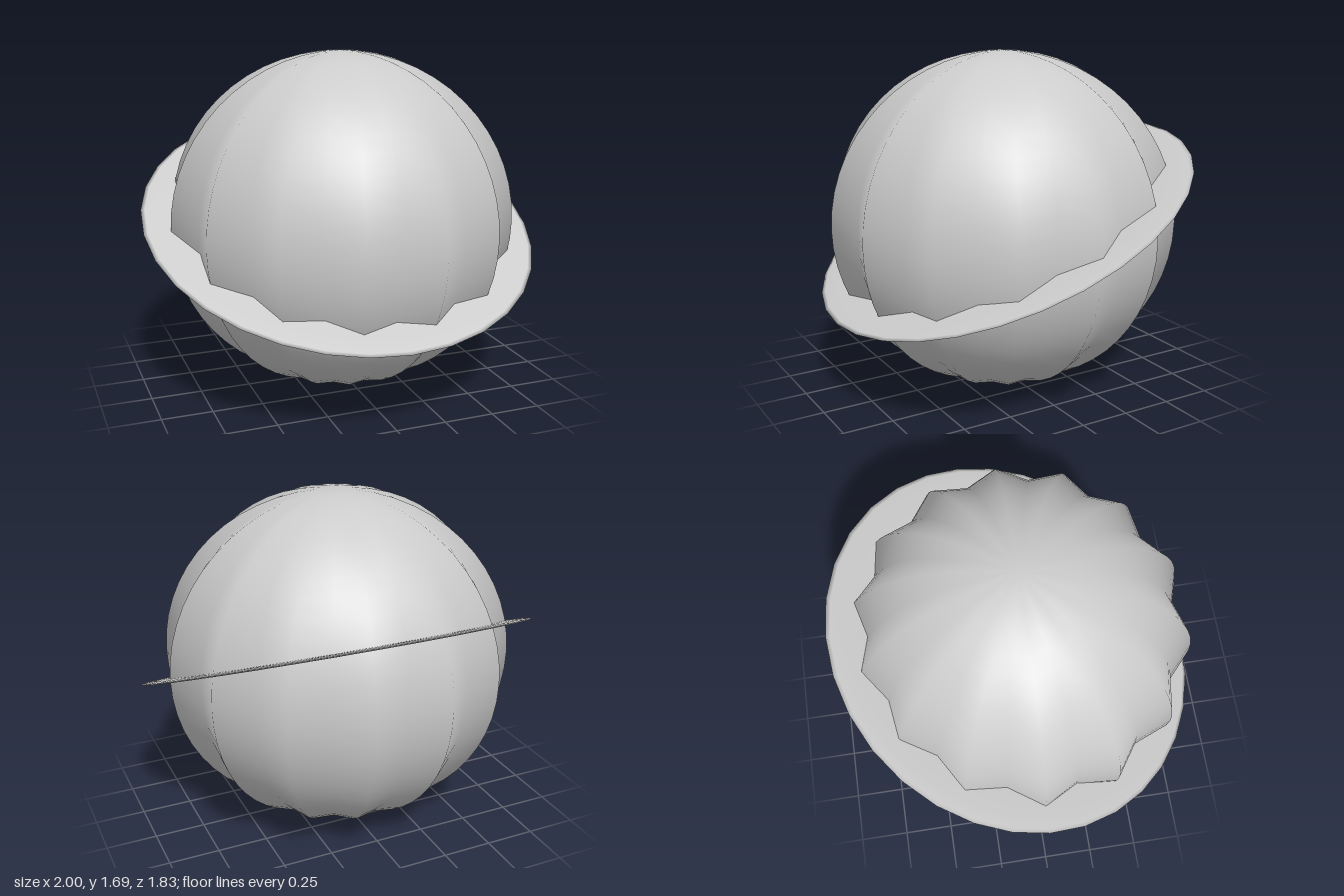
import * as THREE from 'three';
import { mergeVertices } from 'three/addons/utils/BufferGeometryUtils.js';

const CENTER_Y = 0.845;
const LOBES = 14;

// Merge seams so shading runs smoothly all the way round
function smooth(geometry) {
  geometry.deleteAttribute('uv');
  geometry.deleteAttribute('normal');
  const merged = mergeVertices(geometry, 1e-4);
  merged.computeVertexNormals();
  return merged;
}

// Sphere whose meridians alternate between ridges and grooves
function ribbedSphere(ridge, groove, halfHeight) {
  const geometry = new THREE.SphereGeometry(1, LOBES * 2, 28);
  const pos = geometry.attributes.position;
  for (let i = 0; i < pos.count; i++) {
    const angle = Math.atan2(pos.getZ(i), pos.getX(i));
    const wave = 0.5 + 0.5 * Math.cos(angle * LOBES);
    const r = groove + (ridge - groove) * wave;
    pos.setXYZ(i, pos.getX(i) * r, pos.getY(i) * halfHeight, pos.getZ(i) * r);
  }
  return smooth(geometry);
}

export function createModel() {
  const model = new THREE.Group();
  model.name = 'ringedPlanet';
  const gray = new THREE.MeshStandardMaterial({ color: 0xcccccc });
  gray.name = 'light gray';

  // Ribbed globe
  const globe = new THREE.Mesh(ribbedSphere(0.87, 0.79, CENTER_Y), gray);
  globe.name = 'globe';
  globe.position.y = CENTER_Y;
  model.add(globe);

  // Thin flattened ring, low at the front and high at the back
  const ringShape = new THREE.TorusGeometry(0.85, 0.15, 12, 32);
  ringShape.scale(1, 1, 0.045);
  ringShape.rotateX(Math.PI / 2);
  const ring = new THREE.Mesh(smooth(ringShape), gray);
  ring.name = 'ring';
  ring.position.y = CENTER_Y;
  ring.rotation.x = THREE.MathUtils.degToRad(24);
  model.add(ring);

  return model;
}
